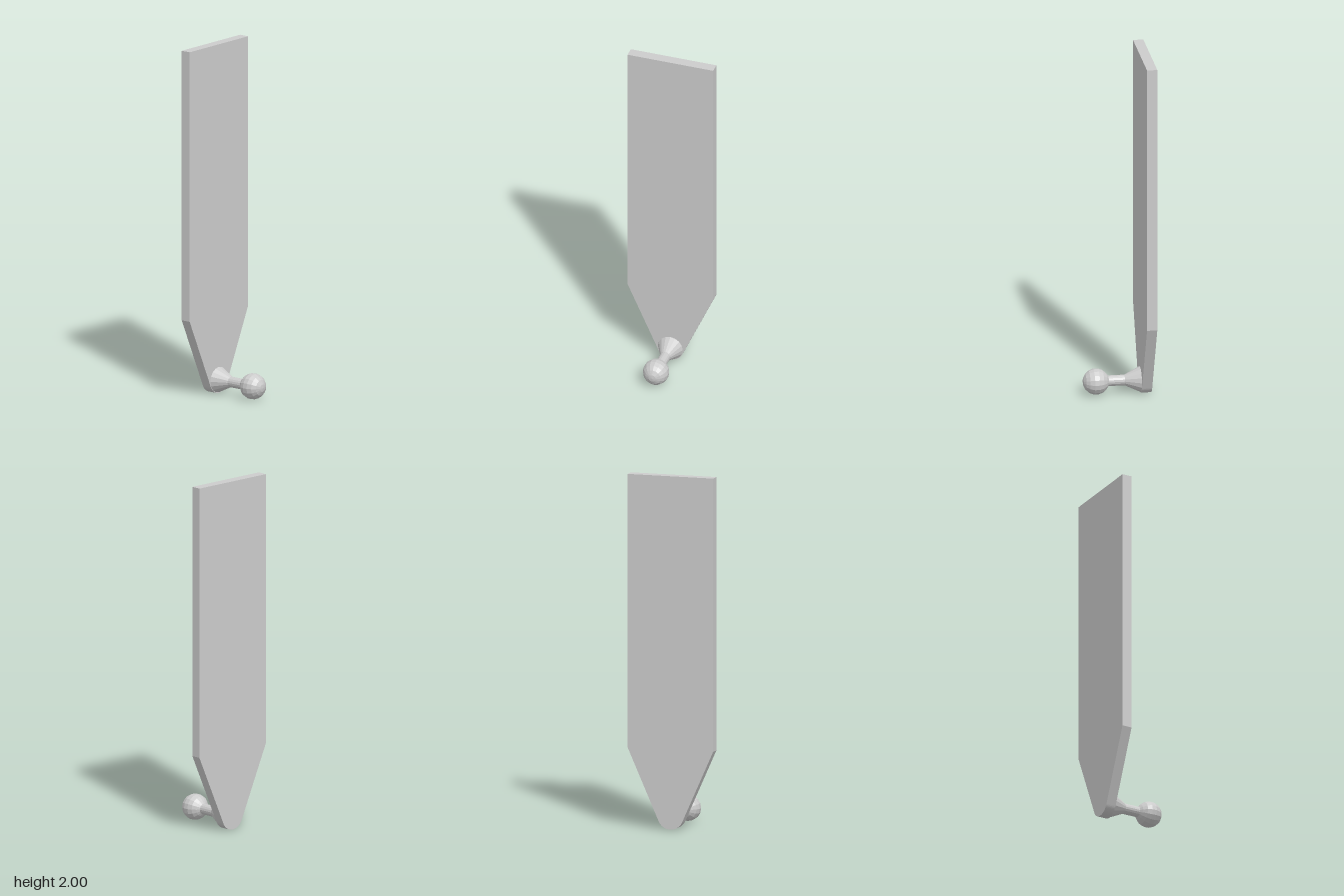
import * as THREE from 'three';

const AXIS_Y = 0.076; // height of the knob axis
const SIDES = 16;

// Turned part: [radius, z] pairs running from back to front along z
function turned(name, profile, material) {
  const points = profile.map(([r, z]) => new THREE.Vector2(r, z));
  const geometry = new THREE.LatheGeometry(points, SIDES).rotateX(Math.PI / 2);
  const mesh = new THREE.Mesh(geometry, material);
  mesh.name = name;
  mesh.position.y = AXIS_Y;
  return mesh;
}

export function createModel() {
  const group = new THREE.Group();
  group.name = 'pegWithPlate';
  const material = new THREE.MeshStandardMaterial({
    color: 0xcccccc, flatShading: true, side: THREE.DoubleSide,
  });

  // Long plate: square top, tapering to a rounded tip
  const halfWidth = 0.252, shoulderY = 0.453, tipRadius = 0.076;
  const dx = halfWidth, dy = shoulderY - AXIS_Y;
  const tangent = Math.atan2(dy, dx) - Math.acos(tipRadius / Math.hypot(dx, dy));
  const outline = new THREE.Shape();
  outline.moveTo(halfWidth, 2);
  outline.lineTo(-halfWidth, 2);
  outline.lineTo(-halfWidth, shoulderY);
  outline.absarc(0, AXIS_Y, tipRadius, Math.PI - tangent, 2 * Math.PI + tangent, false);
  outline.lineTo(halfWidth, shoulderY);
  outline.closePath();
  const plate = new THREE.Mesh(
    new THREE.ExtrudeGeometry(outline, { depth: 0.058, bevelEnabled: false, curveSegments: 12 }),
    material,
  );
  plate.name = 'plate';
  plate.position.z = -0.191;
  group.add(plate);

  // Flared foot and thin stem joining the plate to the ball
  group.add(turned('flaredFoot', [[0.073, -0.133], [0.03, -0.044]], material));
  group.add(turned('stem', [[0.03, -0.044], [0.03, 0.047]], material));

  // Faceted ball, open where the stem enters
  const ballRadius = 0.074, ballZ = 0.117;
  const ballProfile = [[0.03, 0.047]];
  for (let i = 0; i < 7; i++) {
    const a = THREE.MathUtils.degToRad(37.5 + 21 * i);
    ballProfile.push([ballRadius * Math.sin(a), ballZ - ballRadius * Math.cos(a)]);
  }
  ballProfile.push([0, ballZ + ballRadius]);
  group.add(turned('ball', ballProfile, material));

  return group;
}
